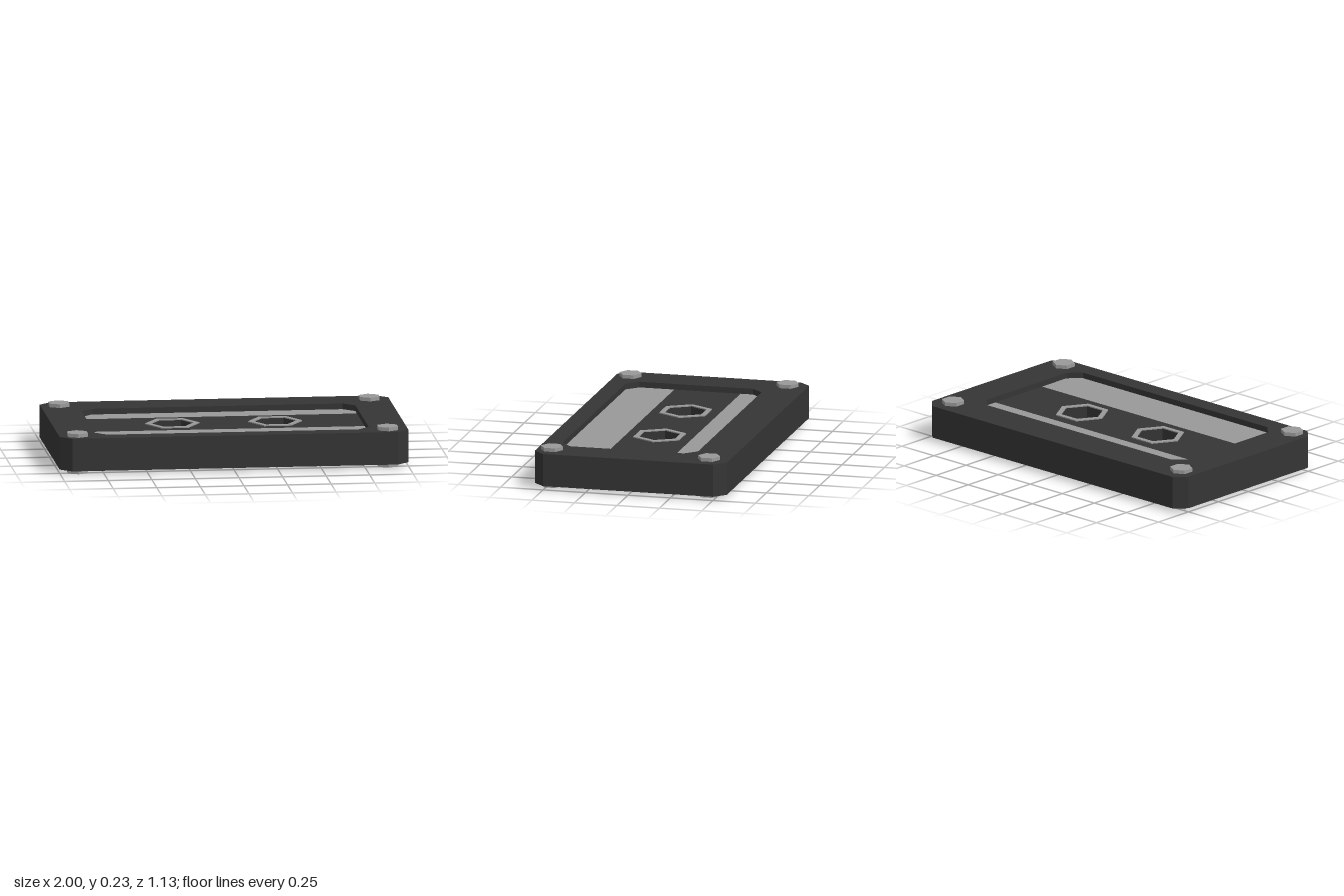
import * as THREE from 'three';

const dark = new THREE.MeshStandardMaterial({ color: 0x353535 });
dark.name = 'charcoal';
const grey = new THREE.MeshStandardMaterial({ color: 0x999999 });
grey.name = 'mid grey';

// Outlines are drawn in plan: [x, z]
const points = (list) => list.map(([x, z]) => new THREE.Vector2(x, z));

const chamferedRect = (w, z0, z1, c0, c1) => points([
  [-w + c0, z0], [w - c0, z0], [w, z0 + c0], [w, z1 - c1],
  [w - c1, z1], [-w + c1, z1], [-w, z1 - c1], [-w, z0 + c0],
]);

const hexagon = (cx, cz, r, turn = 0) => points(Array.from({ length: 6 }, (_, i) => {
  const a = turn + i * Math.PI / 3;
  return [cx + r * Math.cos(a), cz + r * Math.sin(a)];
}));

// Upright prism between two heights, with optional through holes
function prism(name, material, outline, bottom, top, holes = []) {
  const shape = new THREE.Shape(outline);
  shape.holes = holes.map((h) => new THREE.Path(h));
  const geometry = new THREE.ExtrudeGeometry(shape, { depth: top - bottom, bevelEnabled: false });
  geometry.rotateX(Math.PI / 2);
  geometry.translate(0, top, 0);
  const mesh = new THREE.Mesh(geometry, material);
  mesh.name = name;
  return mesh;
}

export function createModel() {
  const group = new THREE.Group();
  group.name = 'cassette';
  const W = 0.785, low = 0.055, high = 0.178;

  // Outer frame with the recessed opening
  group.add(prism('frame', dark, chamferedRect(1, -0.565, 0.565, 0.065, 0.065), 0.022, 0.211,
    [chamferedRect(W, -0.34, 0.46, 0.066, 0.066)]));

  // Recessed label areas on either side of the central band
  group.add(prism('backLabel', grey, points([
    [-W + 0.066, -0.34], [W - 0.066, -0.34], [W, -0.274], [W, -0.2], [-W, -0.2], [-W, -0.274],
  ]), low, high));
  group.add(prism('frontLabel', grey, points([
    [-W, 0.19], [W, 0.19], [W, 0.394], [W - 0.066, 0.46], [-W + 0.066, 0.46], [-W, 0.394],
  ]), low, high));

  // Central band pierced by the two spool holes
  const spools = [-0.297, 0.293];
  group.add(prism('centreBand', dark, points([[-W, -0.2], [W, -0.2], [W, 0.19], [-W, 0.19]]), low, high,
    spools.map((x) => hexagon(x, -0.003, 0.124))));

  // Spool rims on both faces
  for (const x of spools) {
    for (const y of [low - 0.006, high]) {
      group.add(prism('spoolRim', grey, hexagon(x, -0.003, 0.156), y, y + 0.006,
        [hexagon(x, -0.003, 0.124)]));
    }
  }

  // Corner bolts passing right through
  for (const x of [-0.896, 0.884]) {
    for (const z of [-0.448, 0.477]) {
      group.add(prism('cornerBolt', grey, hexagon(x, z, 0.065, Math.PI / 6), 0, 0.232));
    }
  }
  return group;
}
